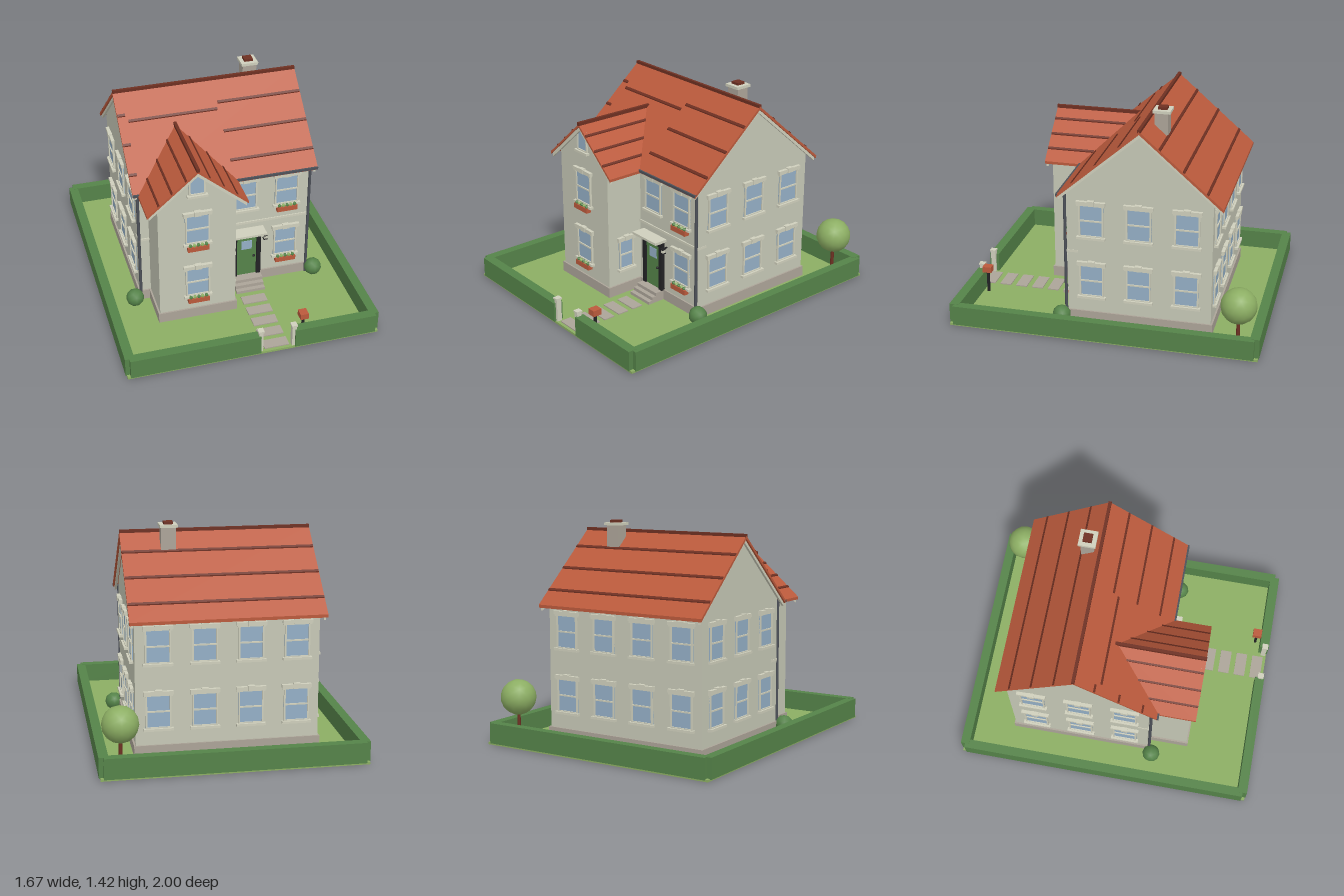
import * as THREE from 'three';

const mat = (name, color, side = THREE.FrontSide) => {
  const m = new THREE.MeshStandardMaterial({ color, side });
  m.name = name;
  return m;
};

export function createModel() {
  const wall = mat('wall', 0xc6c8b6), trim = mat('trim', 0xcfcfbc), glass = mat('glass', 0x94afc6);
  const stone = mat('stone', 0xaca498), roof = mat('roof tile', 0xbb5a3c), darkTile = mat('dark tile', 0x6e3022);
  const hedge = mat('hedge green', 0x558349), lawn = mat('lawn green', 0x8cae63);
  const black = mat('black', 0x222224), pipe = mat('pipe grey', 0x4d5159);

  const root = new THREE.Group();
  root.name = 'house';
  const add = (name, geo, m, parent = root) => {
    const mesh = new THREE.Mesh(geo, m);
    mesh.name = name;
    parent.add(mesh);
    return mesh;
  };
  // Box given by its limits
  const box = (name, m, [x0, x1], [y0, y1], [z0, z1], parent = root) => {
    const b = add(name, new THREE.BoxGeometry(x1 - x0, y1 - y0, z1 - z0), m, parent);
    b.position.set((x0 + x1) / 2, (y0 + y1) / 2, (z0 + z1) / 2);
    return b;
  };
  const ball = (name, m, r, x, y, z, detail = 1, parent = root) => {
    const b = add(name, new THREE.IcosahedronGeometry(r, detail), m, parent);
    b.position.set(x, y, z);
    return b;
  };
  const polygon = (pts) => new THREE.Shape(pts.map(([a, b]) => new THREE.Vector2(a, b)));
  // Plan outline (x, z) lifted onto a sloping plane
  const slab = (name, m, plan, height, lift, thick) => {
    const g = new THREE.ExtrudeGeometry(polygon(plan.map(([x, z]) => [x, -z])), { depth: thick, bevelEnabled: false });
    g.rotateX(-Math.PI / 2);
    const p = g.attributes.position;
    for (let i = 0; i < p.count; i++) p.setY(i, p.getY(i) + height(p.getX(i), p.getZ(i)) + lift - thick);
    g.computeVertexNormals();
    return add(name, g, m);
  };
  const rect = (x0, x1, z0, z1) => [[x0, z0], [x1, z0], [x1, z1], [x0, z1]];

  // Garden
  box('lawn', lawn, [-0.825, 0.825], [0, 0.015], [-0.995, 0.995]);
  for (const s of [-1, 1]) {
    const side = box('sideHedge', hedge, [-0.03, 0.03], [0.01, 0.14], [-0.97, 0.97]);
    side.position.x = s * 0.803;
  }
  box('backHedge', hedge, [-0.805, 0.805], [0.01, 0.142], [-1, -0.94]);
  box('frontHedgeRight', hedge, [-0.805, 0.035], [0.01, 0.142], [0.937, 1]);
  box('frontHedgeLeft', hedge, [0.262, 0.805], [0.01, 0.142], [0.937, 1]);
  for (const x of [0.037, 0.257]) {
    box('gatePost', trim, [x - 0.014, x + 0.014], [0.01, 0.168], [0.955, 0.988]);
    box('gatePostCap', trim, [x - 0.019, x + 0.019], [0.166, 0.178], [0.952, 0.993]);
  }
  for (let i = 0; i < 5; i++) {
    const z = 0.485 + i * 0.113;
    box('pavingSlab', stone, [0.066, 0.23], [0.012, 0.022], [z - 0.038, z + 0.038]);
  }
  const trunk = add('treeTrunk', new THREE.CylinderGeometry(0.01, 0.014, 0.2, 8), darkTile);
  trunk.position.set(0.69, 0.11, -0.85);
  ball('treeCrown', lawn, 0.115, 0.69, 0.3, -0.85, 2);
  for (const s of [-1, 1]) ball('bush', hedge, 0.06, s * 0.622, 0.062, 0.305);
  box('letterBoxPost', black, [0.334, 0.35], [0.01, 0.17], [0.895, 0.911]);
  box('letterBox', roof, [0.315, 0.369], [0.163, 0.203], [0.873, 0.933]);

  // Walls
  const cx = -0.253;
  const mainBody = new THREE.ExtrudeGeometry(
    polygon([[-0.27, 0.015], [0.66, 0.015], [0.66, 0.92], [0.2, 1.328], [-0.27, 0.92]]),
    { depth: 1.155, bevelEnabled: false });
  mainBody.rotateY(Math.PI / 2).translate(-0.577, 0, 0);
  add('mainWalls', mainBody, wall);
  const wingBody = new THREE.ExtrudeGeometry(
    polygon([[-0.506, 0.015], [0, 0.015], [0, 0.93], [cx, 1.148], [-0.506, 0.93]]),
    { depth: 0.485, bevelEnabled: false });
  add('wingWalls', wingBody.translate(0, 0, 0.05), wall);
  box('mainPlinth', stone, [-0.588, 0.589], [0.012, 0.085], [-0.671, 0.281]);
  box('wingPlinth', stone, [-0.517, 0.011], [0.012, 0.085], [0.2, 0.546]);
  box('stringCourse', trim, [-0.58, 0.58], [0.49, 0.506], [0.2, 0.278]);

  // Main roof
  const mainH = (x, z) => 1.345 - 0.867 * Math.abs(z + 0.2);
  const mainZ = (s, d) => -0.2 + s * d;
  const strip = (name, m, x0, x1, s, d0, d1, lift, t) => {
    const [a, b] = [mainZ(s, d0), mainZ(s, d1)].sort((p, q) => p - q);
    slab(name, m, rect(x0, x1, a, b), mainH, lift, t);
  };
  for (const s of [-1, 1]) {
    strip('mainRoofSlope', roof, -0.612, 0.612, s, 0, 0.526, 0, 0.02);
    for (const x of [-0.6, 0.585]) strip('vergeBoard', trim, x, x + 0.015, s, 0, 0.518, -0.018, 0.026);
  }
  for (const d of [0.127, 0.277, 0.427]) {
    strip('tileCourse', darkTile, -0.61, 0.61, -1, d - 0.006, d + 0.006, 0.007, 0.012);
    strip('tileCourse', darkTile, 0.05, 0.61, 1, d - 0.006, d + 0.006, 0.007, 0.012);
    strip('tileCourse', darkTile, -0.61, -0.56, 1, d - 0.006, d + 0.006, 0.007, 0.012);
  }
  strip('tileCourse', darkTile, -0.545, 0.04, 1, 0.154, 0.166, 0.007, 0.012);
  box('mainRidge', darkTile, [-0.612, 0.612], [1.335, 1.356], [-0.21, -0.19]);

  // Wing roof, its back edge following the valley
  const wingH = (x) => 1.165 - 0.86 * Math.abs(x - cx);
  for (const s of [-1, 1]) {
    const X = (d) => cx + s * d;
    slab('wingRoofSlope', roof, [[cx, -0.01], [X(0.325), 0.31], [X(0.325), 0.568], [cx, 0.568]], wingH, 0, 0.018);
    for (const d of [0.075, 0.165, 0.25])
      slab('wingTileCourse', darkTile, rect(X(d - 0.005), X(d + 0.005), d, 0.567), wingH, 0.007, 0.012);
    slab('wingVergeBoard', trim, rect(cx, X(0.315), 0.545, 0.56), wingH, -0.016, 0.03);
  }
  box('wingRidge', darkTile, [cx - 0.01, cx + 0.01], [1.155, 1.178], [-0.01, 0.57]);

  // Chimney
  box('chimneyStack', stone, [0.27, 0.363], [1.2, 1.39], [-0.325, -0.24]);
  box('chimneyCap', trim, [0.26, 0.372], [1.384, 1.402], [-0.34, -0.228]);
  box('chimneyPot', darkTile, [0.286, 0.344], [1.4, 1.418], [-0.314, -0.256]);

  // Gutter and downpipes
  for (const [x0, x1] of [[-0.612, -0.5], [0, 0.612]])
    box('gutter', pipe, [x0, x1], [0.876, 0.892], [0.318, 0.334]);
  for (const x of [-0.576, 0.576]) {
    const down = add('downpipe', new THREE.CylinderGeometry(0.01, 0.01, 0.88, 8), pipe);
    down.position.set(x, 0.455, 0.284);
  }

  // Windows: local z points out of the wall
  const windowAt = (x, y, z, turn = 0, w = 0.16, h = 0.22, plain = false, planted = false) => {
    const g = new THREE.Group();
    g.name = 'window';
    g.position.set(x, y, z);
    g.rotation.y = turn;
    root.add(g);
    const a = w / 2, b = h / 2, f = 0.01;
    box('glass', glass, [-a, a], [-b, b], [-0.003, 0.005], g);
    for (const s of [-1, 1]) {
      box('frameSide', trim, [s * (a - f / 2) - f / 2, s * (a - f / 2) + f / 2], [-b, b], [0, 0.013], g);
      box('frameRail', trim, [-a, a], [s * (b - f / 2) - f / 2, s * (b - f / 2) + f / 2], [0, 0.013], g);
    }
    box('sill', trim, [-a - 0.013, a + 0.013], [-b - 0.013, -b + 0.003], [0, 0.026], g);
    if (!plain) {
      box('middleRail', trim, [-a, a], [-0.005, 0.005], [0, 0.012], g);
      box('lintel', trim, [-a - 0.014, a + 0.014], [b, b + 0.022], [0, 0.022], g);
      box('keystone', trim, [-0.022, 0.022], [b - 0.004, b + 0.029], [0, 0.027], g);
      for (const s of [-1, 1]) box('lintelEnd', trim, [s * a - 0.01, s * a + 0.01], [b - 0.01, b + 0.002], [0, 0.018], g);
    }
    if (planted) {
      box('flowerBox', roof, [-0.07, 0.07], [-b - 0.043, -b - 0.01], [0.004, 0.038], g);
      for (let i = -2; i <= 2; i++)
        ball('plant', i % 2 ? lawn : hedge, 0.014, i * 0.026, -b - 0.004, 0.024, 0, g);
    }
  };
  const quarter = Math.PI / 2;
  for (const y of [0.303, 0.718]) {
    windowAt(cx, y, 0.535, 0, 0.16, 0.22, false, true);
    windowAt(0.423, y, 0.27, 0, 0.16, 0.22, false, true);
    for (const z of [0.112, -0.193, -0.5]) {
      windowAt(0.578, y, z, quarter);
      windowAt(-0.577, y, z, -quarter);
    }
    for (const x of [-0.435, -0.145, 0.145, 0.435]) windowAt(x, y, -0.66, Math.PI);
  }
  windowAt(0.14, 0.718, 0.27);
  windowAt(0, 0.297, 0.397, quarter, 0.115, 0.21);
  windowAt(cx, 1.048, 0.535, 0, 0.105, 0.145, true);

  // Entrance
  box('doorFrameTop', black, [0.053, 0.249], [0.39, 0.425], [0.26, 0.297]);
  for (const x of [0.053, 0.219]) box('doorFrameSide', black, [x, x + 0.03], [0.08, 0.4], [0.26, 0.297]);
  box('door', hedge, [0.08, 0.222], [0.08, 0.392], [0.26, 0.286]);
  box('doorGlass', glass, [0.115, 0.187], [0.29, 0.357], [0.282, 0.29]);
  ball('doorKnob', black, 0.009, 0.201, 0.23, 0.292);
  box('canopy', trim, [0.034, 0.268], [0.437, 0.453], [0.26, 0.365]);
  box('canopyBase', trim, [0.048, 0.254], [0.425, 0.438], [0.26, 0.345]);
  box('upperStep', stone, [0.053, 0.249], [0.012, 0.08], [0.26, 0.345]);
  box('middleStep', stone, [0.053, 0.249], [0.012, 0.058], [0.34, 0.375]);
  box('lowerStep', stone, [0.053, 0.249], [0.012, 0.035], [0.37, 0.405]);

  // Wall lantern
  box('lanternArm', black, [0.27, 0.278], [0.395, 0.403], [0.265, 0.31]);
  box('lanternTop', black, [0.261, 0.287], [0.393, 0.4], [0.292, 0.318]);
  box('lanternLight', trim, [0.265, 0.283], [0.37, 0.394], [0.296, 0.314]);
  box('lanternBase', black, [0.261, 0.287], [0.365, 0.371], [0.292, 0.318]);
  return root;
}
